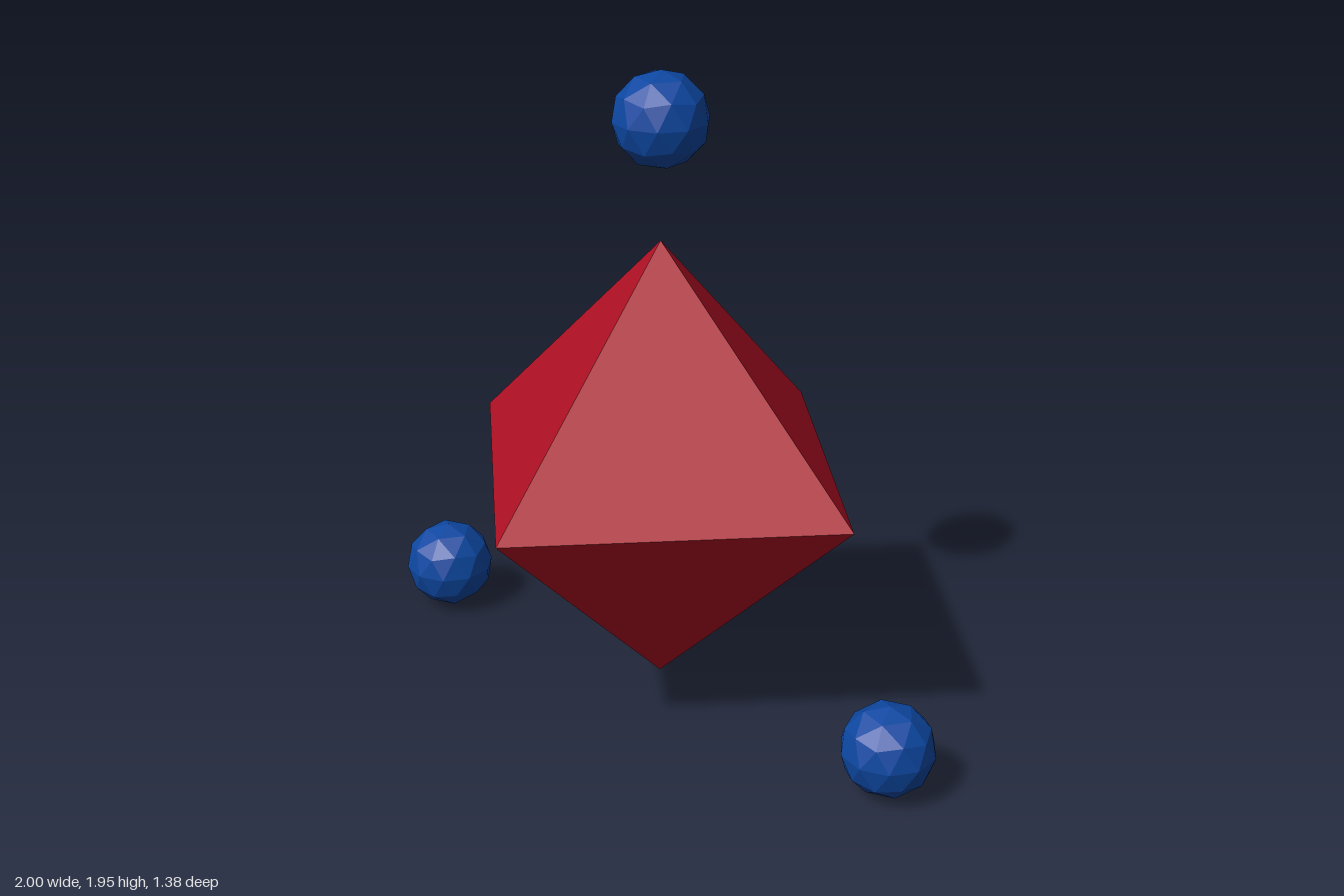
import * as THREE from 'three';

export function createModel() {
  const group = new THREE.Group();
  const red = new THREE.MeshStandardMaterial({ color: 0xb01024, flatShading: true });
  red.name = 'crimson';
  const blue = new THREE.MeshStandardMaterial({ color: 0x0d47a1, flatShading: true });
  blue.name = 'deep blue';

  const unit = 0.1388;
  const centreX = 0.032;

  // Large central octahedron, points on the axes
  const core = new THREE.Mesh(new THREE.OctahedronGeometry(unit * 4.985), red);
  core.name = 'octahedronCore';
  core.position.set(centreX, 0.768, 0);
  group.add(core);

  // Small faceted balls, turned so that a five-sided pole points up
  const ballGeometry = new THREE.IcosahedronGeometry(unit, 1);
  ballGeometry.rotateZ(-Math.atan2(2, 1 + Math.sqrt(5)));
  const balls = [
    ['topBall', centreX, 1.81],
    ['leftBall', 0.868, unit],
    ['rightBall', -0.868, unit],
  ];
  for (const [name, x, y] of balls) {
    const ball = new THREE.Mesh(ballGeometry, blue);
    ball.name = name;
    ball.position.set(x, y, 0);
    group.add(ball);
  }
  return group;
}
